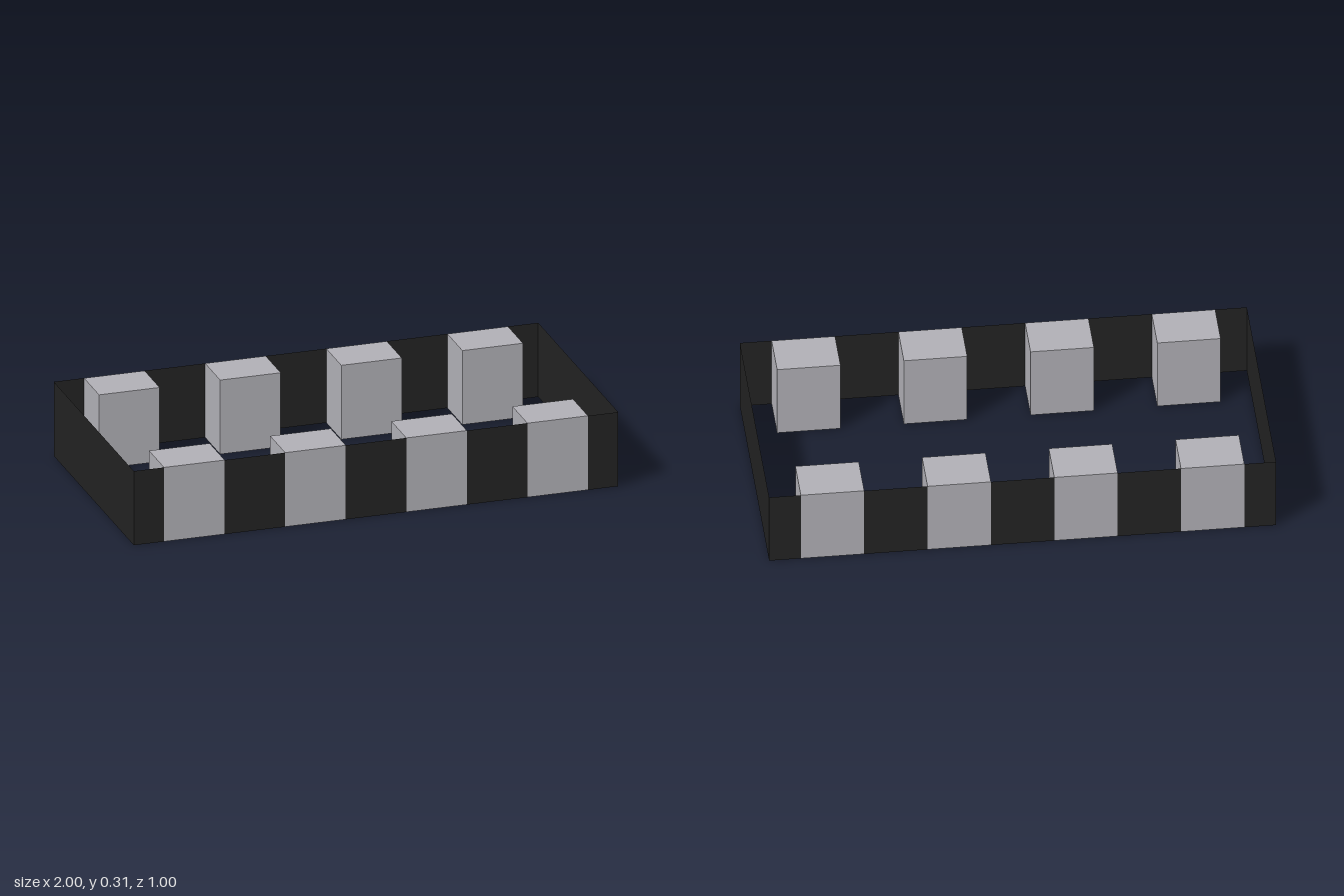
import * as THREE from 'three';

const HEIGHT = 0.3125;
const DEPTH = 0.1875;
const WIDTH = 0.25;

export function createModel() {
  const model = new THREE.Group();
  model.name = 'pillarFrame';

  const grey = new THREE.MeshStandardMaterial({ color: 0xb0afb5 });
  grey.name = 'pale grey';
  const black = new THREE.MeshStandardMaterial({ color: 0x222222, side: THREE.DoubleSide });
  black.name = 'charcoal';

  // Thin upright wall sheet centred on x, z and turned about y
  function wall(name, width, x, z, turn) {
    const mesh = new THREE.Mesh(new THREE.PlaneGeometry(width, HEIGHT), black);
    mesh.name = name;
    mesh.position.set(x, HEIGHT / 2, z);
    mesh.rotation.y = turn;
    model.add(mesh);
  }

  for (const side of [1, -1]) {
    const row = side > 0 ? 'front' : 'back';
    const turn = side > 0 ? 0 : Math.PI;

    // Blocks standing flush with the outer face
    for (const x of [-0.75, -0.25, 0.25, 0.75]) {
      const block = new THREE.Mesh(new THREE.BoxGeometry(WIDTH, HEIGHT, DEPTH), grey);
      block.name = row + 'Block';
      block.position.set(x, HEIGHT / 2, side * (0.5 - DEPTH / 2));
      model.add(block);
    }

    // Wall panels between the blocks and at the corners
    for (const x of [-0.5, 0, 0.5]) wall(row + 'Panel', WIDTH, x, side * 0.5, turn);
    for (const x of [-0.9375, 0.9375]) wall(row + 'CornerPanel', WIDTH / 2, x, side * 0.5, turn);

    // End wall
    wall(side > 0 ? 'leftEndWall' : 'rightEndWall', 1, side, 0, side * Math.PI / 2);
  }

  return model;
}
